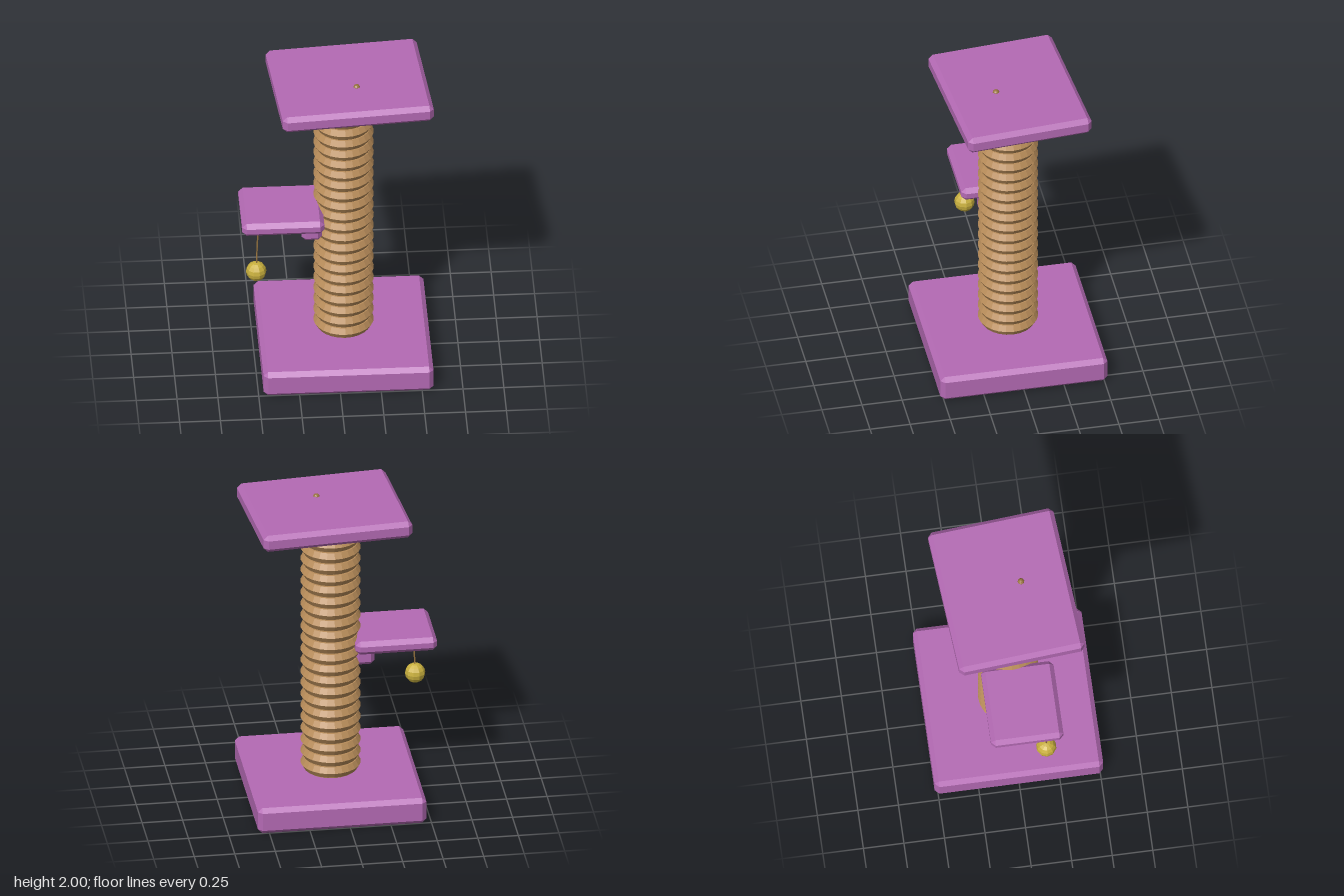
import * as THREE from 'three';
import { ConvexGeometry } from 'three/addons/geometries/ConvexGeometry.js';

const plush = new THREE.MeshStandardMaterial({ name: 'purple plush', color: 0xb46ab4, flatShading: true });
const rope = new THREE.MeshStandardMaterial({ name: 'sisal rope', color: 0xb98d5a, flatShading: true });
const yellow = new THREE.MeshStandardMaterial({ name: 'yellow ball', color: 0xc9b03e, flatShading: true });
const cord = new THREE.MeshStandardMaterial({ name: 'brown cord', color: 0x98743f, flatShading: true });

// Box with every edge cut by a flat chamfer c
function chamferBox(w, h, d, c) {
  const points = [];
  for (const x of [-1, 1]) for (const y of [-1, 1]) for (const z of [-1, 1]) {
    const X = x * w / 2, Y = y * h / 2, Z = z * d / 2;
    points.push(
      new THREE.Vector3(X, Y - y * c, Z - z * c),
      new THREE.Vector3(X - x * c, Y, Z - z * c),
      new THREE.Vector3(X - x * c, Y - y * c, Z));
  }
  return new ConvexGeometry(points);
}

export function createModel() {
  const model = new THREE.Group();
  model.name = 'catTree';

  function add(name, geometry, material, x, y, z, parent = model) {
    const mesh = new THREE.Mesh(geometry, material);
    mesh.name = name;
    mesh.position.set(x, y, z);
    parent.add(mesh);
    return mesh;
  }

  // Base and slightly turned top platform
  add('base', chamferBox(1.04, 0.17, 1.04, 0.027), plush, 0.05, 0.085, 0);
  add('topPlatform', chamferBox(0.932, 0.11, 0.784, 0.027), plush, 0.088, 1.93, -0.005).rotation.y = 0.082;

  // Post: core wrapped in stacked rope rings
  const post = new THREE.Group();
  post.name = 'scratchingPost';
  post.position.x = 0.05;
  model.add(post);
  add('postCore', new THREE.CylinderGeometry(0.152, 0.152, 1.74, 24), rope, 0, 1.02, 0, post);
  const ring = new THREE.TorusGeometry(0.145, 0.04, 6, 24).rotateX(Math.PI / 2);
  for (let i = 0; i < 22; i++) add('ropeRing', ring, rope, 0, 0.214 + i * 0.0771, 0, post);

  // Side perch with its bracket
  add('sidePerch', chamferBox(0.503, 0.088, 0.447, 0.027), plush, -0.333, 1.051, 0.036);
  add('perchBracket', chamferBox(0.125, 0.15, 0.22, 0.025), plush, -0.152, 0.959, 0.036);

  // Hanging ball
  const top = new THREE.Vector3(-0.483, 1.02, 0.162), end = new THREE.Vector3(-0.495, 0.697, 0.162);
  add('ballString', new THREE.TubeGeometry(new THREE.LineCurve3(top, end), 1, 0.005, 6), cord, 0, 0, 0);
  add('ball', new THREE.SphereGeometry(0.063, 10, 8), yellow, end.x, end.y, end.z);

  // Small knot on the top platform
  add('topKnot', new THREE.SphereGeometry(0.023, 8, 6), cord, 0.125, 1.977, 0.09);

  return model;
}
